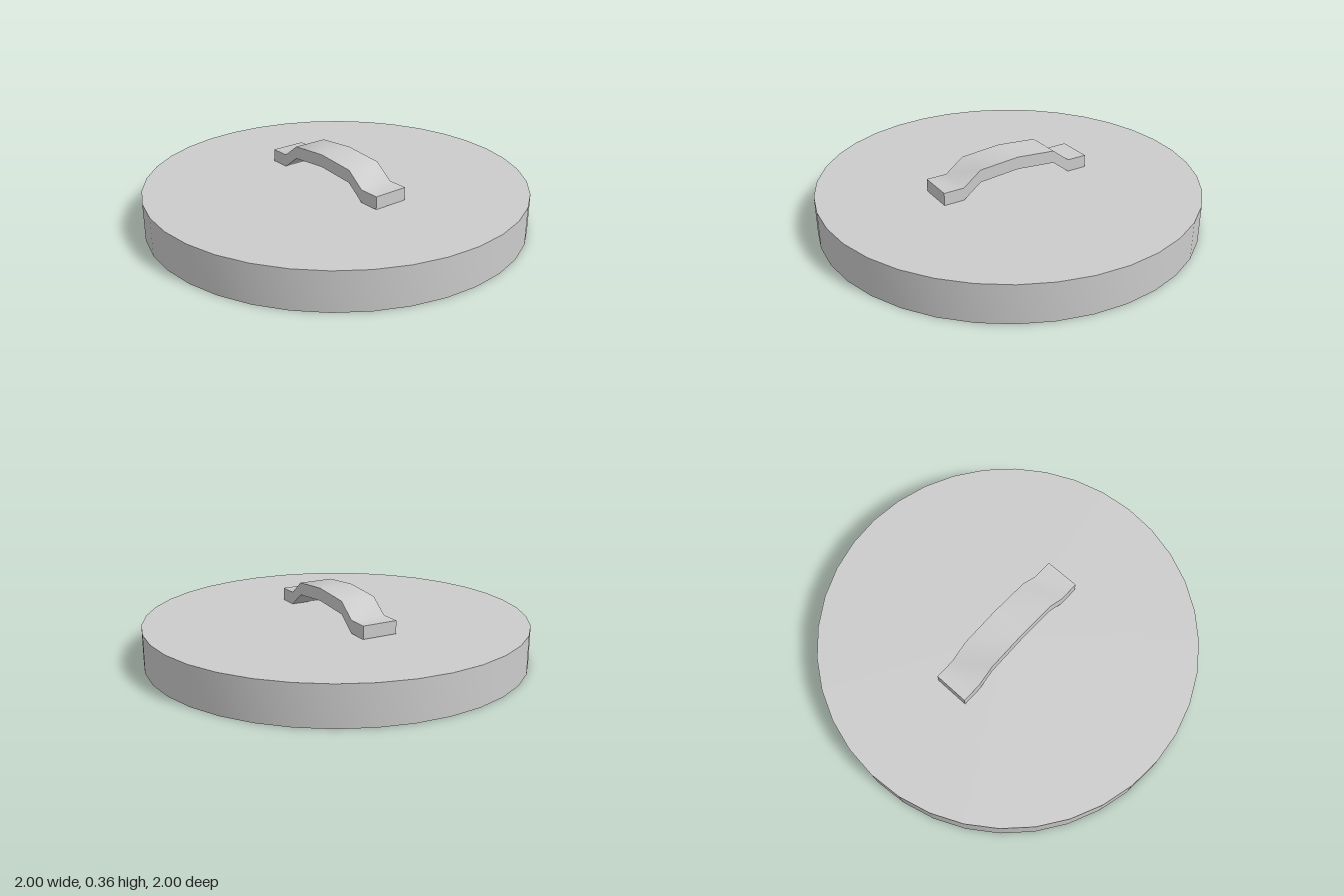
import * as THREE from 'three';
import { toCreasedNormals } from 'three/addons/utils/BufferGeometryUtils.js';

const CREASE = THREE.MathUtils.degToRad(45);

export function createModel() {
  const model = new THREE.Group();
  model.name = 'lid';
  const material = new THREE.MeshStandardMaterial({ color: 0xcccccc });

  const addPart = (name, geometry) => {
    const mesh = new THREE.Mesh(toCreasedNormals(geometry, CREASE), material);
    mesh.name = name;
    model.add(mesh);
  };

  // Round cover, hollow underneath with a thin rim: [radius, y]
  const coverProfile = [[0, 0.14], [0.93, 0.14], [0.93, 0], [1, 0], [1, 0.2], [0, 0.2]];
  addPart('cover', new THREE.LatheGeometry(coverProfile.map(([r, y]) => new THREE.Vector2(r, y)), 36));

  // Arched strap handle: underside of one half as [z, y], from foot to crown
  const thickness = 0.067;
  const width = 0.188;
  const half = [[0.427, 0.203], [0.317, 0.203], [0.22, 0.277], [0, 0.295]];
  const underside = [...half, ...half.slice(0, -1).reverse().map(([z, y]) => [-z, y])];
  const topside = underside.map(([z, y]) => [z, y + thickness]).reverse();
  const outline = new THREE.Shape([...underside, ...topside].map(([z, y]) => new THREE.Vector2(z, y)));
  const handle = new THREE.ExtrudeGeometry(outline, { depth: width, bevelEnabled: false });
  handle.translate(0, 0, -width / 2).rotateY(Math.PI / 2);
  addPart('handle', handle);

  return model;
}
